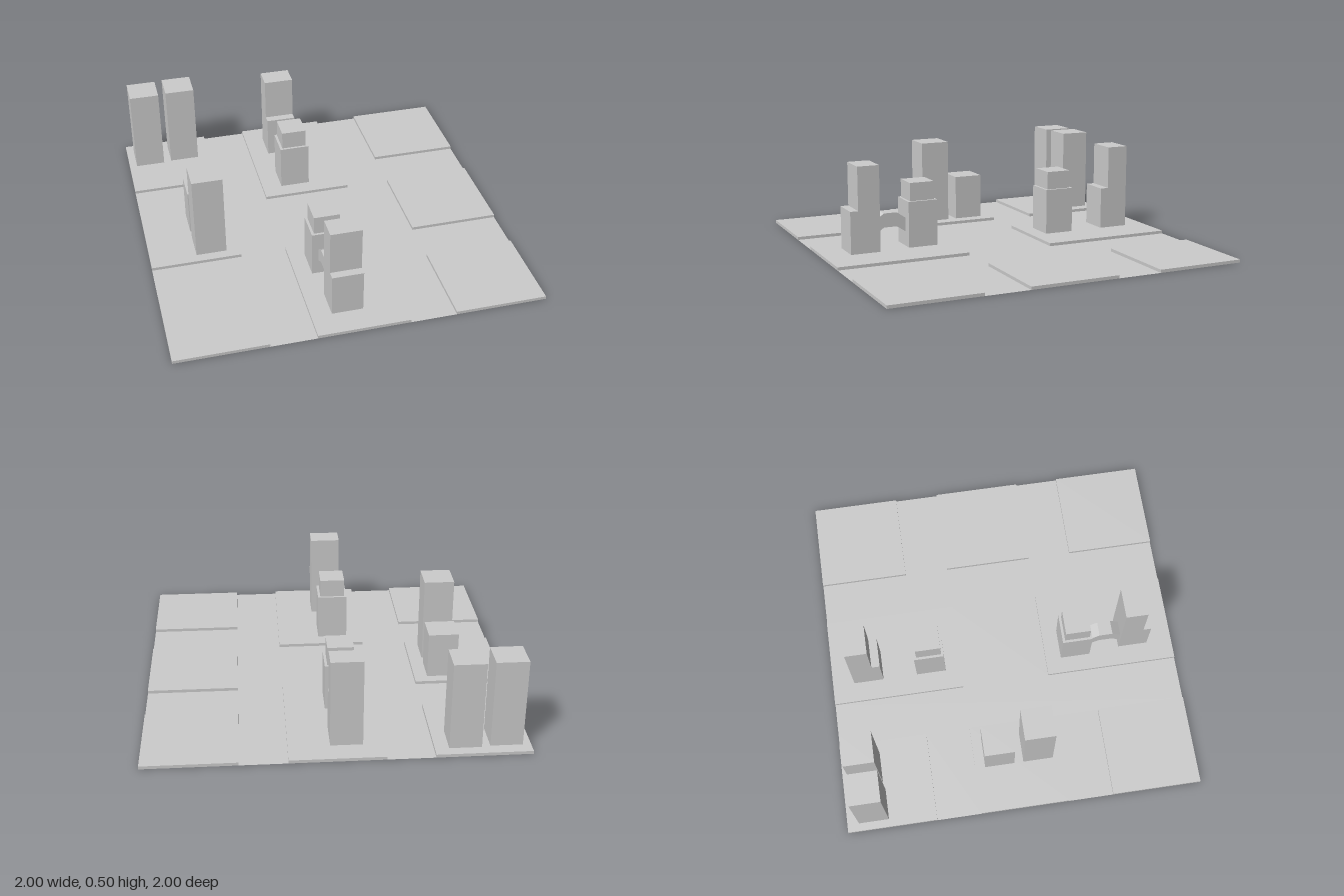
import * as THREE from 'three';

const SLAB = 0.017; // kerb height of the city blocks
const BASE = 0.01;  // buildings are sunk slightly into the blocks

const grey = new THREE.MeshStandardMaterial({ color: 0xcccccc, side: THREE.DoubleSide });
grey.name = 'plainGrey';

function addMesh(parent, name, geometry) {
  const mesh = new THREE.Mesh(geometry, grey);
  mesh.name = name;
  parent.add(mesh);
  return mesh;
}

// Box given by its extents along each axis
function box(x0, x1, y0, y1, z0, z1) {
  return new THREE.BoxGeometry(x1 - x0, y1 - y0, z1 - z0)
    .translate((x0 + x1) / 2, (y0 + y1) / 2, (z0 + z1) / 2);
}

// Raised block: a box without its underside
function slab(x0, x1, z0, z1) {
  const g = box(x0, x1, 0, SLAB, z0, z1);
  const index = Array.from(g.index.array);
  index.splice(18, 6);
  g.setIndex(index);
  g.clearGroups();
  return g;
}

function road(x0, x1, z0, z1) {
  return new THREE.PlaneGeometry(x1 - x0, z1 - z0).rotateX(-Math.PI / 2)
    .translate((x0 + x1) / 2, 0, (z0 + z1) / 2);
}

// Side profile of [z, y] points, extruded from x0 to x1
function sideExtrude(points, x0, x1) {
  const shape = new THREE.Shape(points.map(([z, y]) => new THREE.Vector2(-z, y)));
  return new THREE.ExtrudeGeometry(shape, { depth: x1 - x0, bevelEnabled: false })
    .rotateY(Math.PI / 2).translate(x0, 0, 0);
}

export function createModel() {
  const city = new THREE.Group();
  city.name = 'cityBlocks';

  // Streets: two avenues, the cross streets and the central square
  const roads = new THREE.Group();
  roads.name = 'roads';
  city.add(roads);
  for (const s of [-1, 1]) {
    const a = s * 0.375;
    addMesh(roads, 'avenue', road(a - 0.125, a + 0.125, -1, 1));
    for (const x of [-0.75, 0.75])
      addMesh(roads, 'crossStreet', road(x - 0.25, x + 0.25, a - 0.125, a + 0.125));
  }
  addMesh(roads, 'centralSquare', road(-0.25, 0.25, -0.25, 0.25));

  // Raised blocks: three on each side, two long ones in the middle
  const blocks = new THREE.Group();
  blocks.name = 'blocks';
  city.add(blocks);
  for (const x of [-0.75, 0.75])
    for (const z of [-0.75, 0, 0.75])
      addMesh(blocks, 'sideBlock', slab(x - 0.25, x + 0.25, z - 0.25, z + 0.25));
  for (const z of [-0.625, 0.625])
    addMesh(blocks, 'middleBlock', slab(-0.25, 0.25, z - 0.375, z + 0.375));

  // Plain towers: x0, x1, z0, z1, height
  const towers = [
    [-0.957, -0.788, -0.935, -0.767, 0.5],
    [-0.743, -0.574, -0.944, -0.777, 0.5],
    [-0.743, -0.574, -0.193, -0.025, 0.277],
    [-0.743, -0.574, 0.026, 0.195, 0.5],
  ];
  for (const [x0, x1, z0, z1, h] of towers)
    addMesh(city, 'plainTower', box(x0, x1, BASE, h, z0, z1));

  // Towers with a lower front ledge
  for (const [z0, zs, z1] of [[-0.876, -0.752, -0.705], [0.684, 0.808, 0.853]])
    addMesh(city, 'ledgeTower', sideExtrude(
      [[z0, BASE], [z1, BASE], [z1, 0.256], [zs, 0.256], [zs, 0.5], [z0, 0.5]], -0.139, 0.031));

  // Towers with a smaller upper storey
  for (const [x, z] of [[-0.053, -0.424], [-0.074, 0.424]]) {
    addMesh(city, 'setbackTowerBase', box(x - 0.085, x + 0.085, BASE, 0.277, z - 0.085, z + 0.085));
    addMesh(city, 'setbackTowerTop', box(x - 0.071, x + 0.071, 0.277, 0.38, z - 0.071, z + 0.071));
  }

  // Arched skybridge between the two front towers
  addMesh(city, 'skybridge', sideExtrude(
    [[0.509, 0.1], [0.56, 0.133], [0.635, 0.133], [0.684, 0.1],
      [0.684, 0.178], [0.635, 0.213], [0.56, 0.213], [0.509, 0.178]], -0.123, -0.043));

  return city;
}
